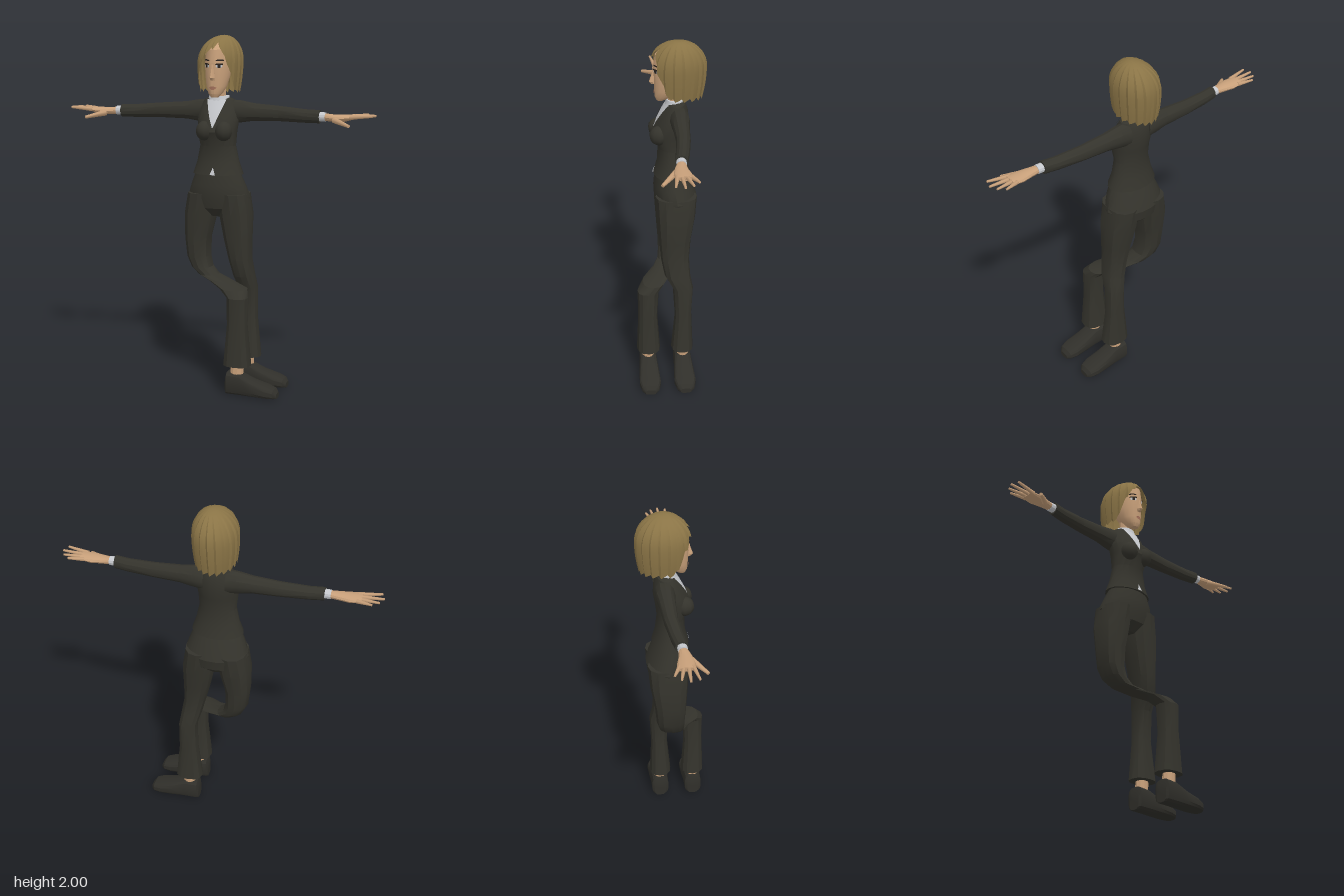
import * as THREE from 'three';
import { toCreasedNormals } from 'three/addons/utils/BufferGeometryUtils.js';

const mat = (name, color, side = THREE.FrontSide) => {
  const m = new THREE.MeshStandardMaterial({ color, side });
  m.name = name;
  return m;
};
const SUIT = mat('charcoal suit', 0x34332c);
const SKIN = mat('skin', 0xc8a07a);
const HAIR = mat('dark blonde hair', 0x8a7446, THREE.DoubleSide);
const SHIRT = mat('pale shirt', 0xc6c8cc);
const SHOE = mat('dark shoe', 0x302f2a);
const DARK = mat('dark eye', 0x2b241f);
const LIP = mat('lip', 0xa5735c);

// Surface through rows of [x, y, z] points.
function grid(rows) {
  const pos = [];
  const same = (p, q) => Math.hypot(p[0] - q[0], p[1] - q[1], p[2] - q[2]) < 1e-6;
  const tri = (p, q, r) => {
    if (!same(p, q) && !same(q, r) && !same(p, r)) pos.push(...p, ...q, ...r);
  };
  for (let i = 0; i < rows.length - 1; i++) {
    for (let j = 0; j < rows[i].length - 1; j++) {
      const a = rows[i][j], b = rows[i][j + 1], c = rows[i + 1][j], d = rows[i + 1][j + 1];
      tri(a, c, b);
      tri(b, c, d);
    }
  }
  const g = new THREE.BufferGeometry();
  g.setAttribute('position', new THREE.Float32BufferAttribute(pos, 3));
  return toCreasedNormals(g, 0.5);
}

// Closed body through rings [y, centre x, half width, front z, back z]; power < 1 squares it off.
function loft(rings, sides = 14, power = 1) {
  const sq = v => Math.sign(v) * Math.abs(v) ** power;
  const sorted = [...rings].sort((p, q) => p[0] - q[0]);
  const rows = sorted.map(([y, x, rx, zf, zb]) => Array.from({ length: sides + 1 }, (_, j) => {
    const a = (j % sides) / sides * Math.PI * 2;
    return [x + rx * sq(Math.cos(a)), y, (zf + zb) / 2 + (zf - zb) / 2 * sq(Math.sin(a))];
  }));
  const cap = ([y, x, , zf, zb]) => Array(sides + 1).fill([x, y, (zf + zb) / 2]);
  return grid([cap(sorted[0]), ...rows, cap(sorted[sorted.length - 1])]);
}
// The same along x: rings [x, centre y, half height, front z, back z].
const loftX = (rings, sides, power) =>
  loft(rings.map(([x, y, ...r]) => [x, -y, ...r]), sides, power).rotateZ(-Math.PI / 2);

// Thin patch lying on the front of a loft; rows [y, x0, x1] from top to bottom.
function patch(rings, rows, lift = 0.004) {
  const front = (x, y) => {
    let i = 0;
    while (i < rings.length - 2 && y > rings[i + 1][0]) i++;
    const k = (y - rings[i][0]) / (rings[i + 1][0] - rings[i][0]);
    const [, cx, rx, zf, zb] = rings[i].map((v, n) => v + (rings[i + 1][n] - v) * k);
    return (zf + zb) / 2 + (zf - zb) / 2 * Math.sqrt(Math.max(0, 1 - ((x - cx) / rx) ** 2)) + lift;
  };
  return grid(rows.map(([y, x0, x1]) => [0, 0.25, 0.5, 0.75, 1].map(t => {
    const x = x0 + (x1 - x0) * t;
    return [x, y, front(x, y)];
  })));
}

// Tapered finger between two points.
function finger(a, b, r) {
  const p = new THREE.Vector3(...a), q = new THREE.Vector3(...b), d = q.clone().sub(p);
  const g = new THREE.CylinderGeometry(r * 0.5, r, d.length(), 6);
  g.applyQuaternion(new THREE.Quaternion().setFromUnitVectors(new THREE.Vector3(0, 1, 0), d.normalize()));
  return g.translate(...p.add(q).multiplyScalar(0.5).toArray());
}

// Bob of overlapping locks falling from a side parting, open over the face.
function hairGeometry() {
  const hemLine = [[-180, 1.67], [-68, 1.685], [-52, 1.77], [-38, 1.84], [-15, 1.9], [18, 1.945],
    [32, 1.88], [44, 1.82], [54, 1.76], [68, 1.685], [180, 1.67]];
  const hem = a => {
    let i = 0;
    while (i < hemLine.length - 2 && a > hemLine[i + 1][0]) i++;
    const [a0, y0] = hemLine[i], [a1, y1] = hemLine[i + 1];
    return y0 + (y1 - y0) * (a - a0) / (a1 - a0);
  };
  const rows = [];
  for (let i = 0; i <= 12; i++) {
    const t = i / 12, row = [];
    for (let j = 0; j <= 72; j++) {
      const deg = -180 + j * 5, a = deg * Math.PI / 180, lock = (j % 4) / 4;
      const y = 1.998 - (1.998 - hem(deg) - 0.025 * lock) * t ** 1.7;
      const r = (y > 1.85 ? Math.sqrt(Math.max(0, 1 - ((y - 1.85) / 0.148) ** 2)) : 1 - (1.85 - y) ** 2 * 4.5)
        * (1 - 0.07 * lock);
      row.push([0.025 * (1 - t) ** 2 + 0.125 * r * Math.sin(a), y, -0.045 + 0.155 * r * Math.cos(a)]);
    }
    rows.push(row);
  }
  return grid(rows);
}

export function createModel() {
  const model = new THREE.Group();
  model.name = 'woman in suit';
  const add = (name, geo, material, parent = model) => {
    const m = new THREE.Mesh(geo, material);
    m.name = name;
    parent.add(m);
    return m;
  };

  // Jacket, shirt front and collar
  const torso = [[1.23, 0, 0.146, 0.09, -0.115], [1.3, 0, 0.122, 0.07, -0.095], [1.39, 0, 0.103, 0.065, -0.085],
    [1.47, 0, 0.112, 0.095, -0.095], [1.53, 0, 0.118, 0.075, -0.105], [1.6, 0, 0.112, 0.04, -0.1],
    [1.645, 0, 0.085, 0.015, -0.085], [1.66, 0, 0.05, 0, -0.07]];
  add('jacket', loft(torso, 18), SUIT);
  for (const s of [-1, 1]) {
    add('bust', new THREE.SphereGeometry(0.05, 10, 8).scale(0.98, 1.1, 1.1).translate(s * 0.056, 1.475, 0.06), SUIT);
    const lapel = [[1.645, 0.055, 0.075], [1.6, 0.042, 0.075], [1.55, 0.024, 0.055], [1.49, 0.002, 0.012]];
    add('lapel', patch(torso, lapel.map(([y, p, q]) => s > 0 ? [y, p, q] : [y, -q, -p]), 0.009), SUIT);
  }
  add('shirtFront', patch(torso, [[1.645, -0.058, 0.058], [1.6, -0.044, 0.044], [1.55, -0.026, 0.026], [1.495, -0.002, 0.002]], 0.006), SHIRT);
  add('shirtHem', patch(torso, [[1.272, -0.001, 0.001], [1.232, -0.016, 0.016]]), SHIRT);
  add('collar', loft([[1.6, 0, 0.072, 0.035, -0.085], [1.665, 0, 0.058, 0.018, -0.075]], 14), SHIRT);
  add('neck', loft([[1.6, 0, 0.042, 0.005, -0.065], [1.73, 0, 0.04, 0.02, -0.06]], 12), SKIN);

  // Trousers; the right leg crosses in front of the left below the knee
  add('trouserSeat', loft([[1.25, 0, 0.125, 0.075, -0.085], [1.17, 0, 0.158, 0.09, -0.125], [1.1, 0, 0.182, 0.088, -0.15],
    [1.04, 0, 0.17, 0.075, -0.14], [0.99, 0, 0.06, 0.03, -0.09]], 18), SUIT);
  add('leftTrouserLeg', loft([[1.12, 0.09, 0.085, 0.085, -0.145], [1, 0.103, 0.093, 0.078, -0.135], [0.86, 0.117, 0.078, 0.068, -0.11],
    [0.75, 0.13, 0.064, 0.06, -0.1], [0.65, 0.15, 0.06, 0.04, -0.105], [0.57, 0.166, 0.054, -0.005, -0.12],
    [0.4, 0.165, 0.056, -0.016, -0.112], [0.17, 0.165, 0.08, 0.005, -0.122]], 12, 0.85), SUIT);
  add('rightTrouserLeg', loft([[1.12, -0.09, 0.085, 0.085, -0.145], [1, -0.107, 0.09, 0.078, -0.135], [0.86, -0.122, 0.072, 0.068, -0.11],
    [0.75, -0.118, 0.064, 0.06, -0.1], [0.69, -0.095, 0.058, 0.06, -0.085], [0.65, -0.05, 0.055, 0.065, -0.06],
    [0.625, 0.035, 0.065, 0.1, -0.02], [0.6, 0.13, 0.08, 0.165, 0.04], [0.56, 0.165, 0.06, 0.197, 0.075],
    [0.4, 0.165, 0.058, 0.195, 0.085], [0.17, 0.165, 0.08, 0.205, 0.07]], 12, 0.85), SUIT);

  // Feet turned towards the left
  for (const [side, z] of [['left', -0.062], ['right', 0.14]]) {
    add(side + 'Ankle', loft([[0.08, 0.16, 0.04, z + 0.035, z - 0.035], [0.2, 0.168, 0.036, z + 0.033, z - 0.033]], 10), SKIN);
    const shoe = [[0.103, 0.1, 0.035], [0.112, 0.13, 0.05], [0.19, 0.125, 0.052], [0.26, 0.092, 0.058],
      [0.34, 0.068, 0.062], [0.385, 0.052, 0.05], [0.402, 0.03, 0.03]];
    add(side + 'Shoe', loftX(shoe.map(([x, h, w]) => [x, h / 2, h / 2, z + w, z - w]), 14, 0.6), SHOE);
  }

  // Outstretched arms and hands, mirrored
  for (const s of [1, -1]) {
    const arm = new THREE.Group();
    arm.name = s > 0 ? 'leftArm' : 'rightArm';
    arm.scale.x = s;
    model.add(arm);
    add('sleeve', loftX([[0.06, 1.575, 0.068, 0.01, -0.1], [0.12, 1.578, 0.062, 0.005, -0.1], [0.2, 1.577, 0.049, 0, -0.09],
      [0.35, 1.573, 0.042, -0.003, -0.08], [0.5, 1.566, 0.037, 0.012, -0.06], [0.582, 1.566, 0.036, 0.024, -0.045]], 12), SUIT, arm);
    add('shirtCuff', loftX([[0.57, 1.566, 0.026, 0.018, -0.036], [0.615, 1.566, 0.025, 0.018, -0.034]], 12), SHIRT, arm);
    add('palm', loftX([[0.6, 1.566, 0.021, 0.014, -0.03], [0.66, 1.562, 0.02, 0.034, -0.036], [0.72, 1.564, 0.02, 0.042, -0.05],
      [0.778, 1.571, 0.012, 0.034, -0.052]], 12), SKIN, arm);
    const tips = [[0.838, -0.072], [0.873, -0.042], [0.892, 0], [0.878, 0.045]];
    tips.forEach(([x, z], i) => add('finger', finger([0.755, 1.57, -0.042 + i * 0.023], [x, 1.58, z], 0.0125), SKIN, arm));
    add('thumb', finger([0.67, 1.553, 0.025], [0.765, 1.53, 0.1], 0.018), SKIN, arm);
  }

  // Head and face
  const head = [[1.66, 0, 0.02, 0.07, 0.03], [1.68, 0, 0.038, 0.08, -0.01], [1.72, 0, 0.056, 0.083, -0.06], [1.78, 0, 0.067, 0.085, -0.1],
    [1.85, 0, 0.073, 0.088, -0.13], [1.92, 0, 0.066, 0.078, -0.12], [1.965, 0, 0.04, 0.03, -0.08]];
  add('head', loft(head, 18), SKIN);
  add('nose', loft([[1.755, 0, 0.013, 0.1, 0.07], [1.768, 0, 0.015, 0.112, 0.07], [1.8, 0, 0.009, 0.1, 0.07], [1.84, 0, 0.007, 0.089, 0.07]], 6), SKIN);
  add('lips', patch(head, [[1.722, -0.006, 0.006], [1.715, -0.022, 0.022], [1.703, -0.008, 0.008]]), LIP);
  for (const s of [-1, 1]) {
    const face = (name, rows, m, lift) =>
      add(name, patch(head, rows.map(([y, p, q]) => s > 0 ? [y, p, q] : [y, -q, -p]), lift), m);
    face('eyeWhite', [[1.84, 0.024, 0.046], [1.832, 0.018, 0.05], [1.823, 0.026, 0.044]], SHIRT, 0.003);
    face('iris', [[1.842, 0.028, 0.042], [1.823, 0.029, 0.041]], DARK, 0.005);
    face('eyelash', [[1.847, 0.022, 0.05], [1.839, 0.017, 0.054]], DARK, 0.006);
    face('eyebrow', [[1.868, 0.026, 0.052], [1.86, 0.016, 0.056]], DARK, 0.004);
  }
  add('hair', hairGeometry(), HAIR);

  return model;
}
